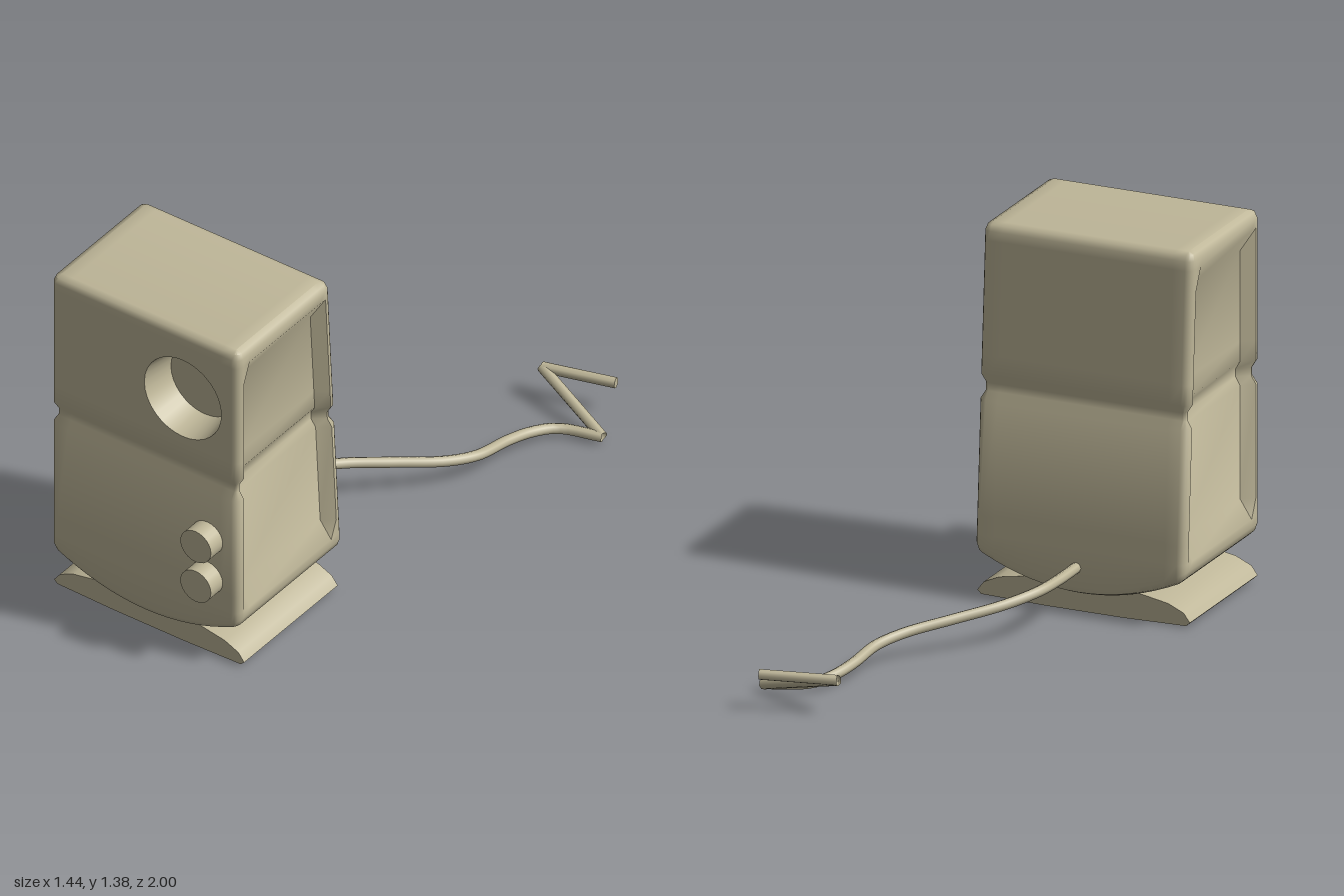
import * as THREE from 'three';
import { toCreasedNormals } from 'three/addons/utils/BufferGeometryUtils.js';

const material = new THREE.MeshStandardMaterial({ color: 0xbfb799, side: THREE.DoubleSide });
const W = 0.41, R = 0.03, NOTCH = 0.045, N = 16, ARC = 4;
const HOLE = { x: 0.169, y: 1.095, r: 0.168, inner: 0.147, depth: 0.13 };

function add(parent, name, geometry, x = 0, y = 0, z = 0) {
  const mesh = new THREE.Mesh(geometry, material);
  mesh.name = name;
  mesh.position.set(x, y, z);
  parent.add(mesh);
  return mesh;
}

// Front half of a cabinet cross-section, left to right, as [x, z]
function frontOutline(inset, notch) {
  const left = [[-(W - inset - NOTCH * notch), -0.07], [-(W - inset), -0.035]];
  for (let i = 0; i <= ARC; i++) {
    const a = (i / ARC) * Math.PI / 2;
    left.push([-(W - R) - Math.cos(a) * (R - inset), -R + Math.sin(a) * (R - inset)]);
  }
  const middle = [];
  for (let i = 1; i < N; i++) middle.push([(W - R) * (2 * i / N - 1), -inset]);
  return [...left, ...middle, ...left.map(([x, z]) => [-x, z]).reverse()];
}

// Cabinet: stacked sections with rounded edges, waist groove, side recesses, bowed underside
function cabinetGeometry() {
  // [height, inset, side recess 0..1, follows the bowed underside]
  const rows = [
    [0, 0.03, 0, true], [0.009, 0.009, 0, true], [0.03, 0, 0, true],
    [0.24, 0, 0], [0.31, 0, 1], [0.735, 0, 1], [0.765, 0.018, 1], [0.795, 0.018, 1],
    [0.825, 0, 1], [0.9, 0, 1], [1.24, 0, 1], [1.32, 0, 0],
    [1.355, 0, 0], [1.376, 0.009, 0], [1.385, 0.03, 0],
  ];
  const positions = [], index = [];
  let m = 0;
  for (const [h, inset, notch, bowed] of rows) {
    const front = frontOutline(inset, notch);
    m = front.length;
    const point = (x, z, back) => {
      const y = bowed ? h + 0.075 + 0.105 * (x / W) ** 2 : h;
      positions.push(x, y, back ? -(0.643 - 0.0635 * y) - z : z);
    };
    front.forEach(([x, z]) => point(x, z, false));
    front.reverse().forEach(([x, z]) => point(x, z, true));
  }
  const n = 2 * m, first = 2 + ARC;
  const quad = (a, b, c, d) => index.push(a, b, c, a, c, d);
  for (let k = 0; k < rows.length - 1; k++) {
    for (let j = 0; j < n; j++) {
      // leave the area of the front panel open
      const open = rows[k][0] >= 0.9 && rows[k + 1][0] <= 1.32 && j >= first && j < first + N;
      const j2 = (j + 1) % n;
      if (!open) quad(k * n + j, k * n + j2, (k + 1) * n + j2, (k + 1) * n + j);
    }
  }
  const top = (rows.length - 1) * n;
  for (let i = 0; i < m - 1; i++) {
    quad(top + i, top + i + 1, top + n - 2 - i, top + n - 1 - i);
    quad(n - 1 - i, n - 2 - i, i + 1, i);
  }
  const geometry = new THREE.BufferGeometry();
  geometry.setAttribute('position', new THREE.Float32BufferAttribute(positions, 3));
  geometry.setIndex(index);
  return toCreasedNormals(geometry, 0.8);
}

// Flat front panel with the round opening
function frontPanelGeometry() {
  const w = W - R;
  const shape = new THREE.Shape([[-w, 0.9], [w, 0.9], [w, 1.32], [-w, 1.32]].map(p => new THREE.Vector2(...p)));
  const hole = new THREE.Path();
  hole.absarc(HOLE.x, HOLE.y, HOLE.r, 0, Math.PI * 2, true);
  shape.holes.push(hole);
  return new THREE.ShapeGeometry(shape, 16);
}

// Foot: shallow domed profile extruded front to back
function footGeometry() {
  const right = [[0.15, 0], [0.4, 0.006], [0.415, 0.02], [0.39, 0.053], [0.33, 0.08], [0.22, 0.1]];
  const outline = [...right, ...right.map(([x, y]) => [-x, y]).reverse()];
  const shape = new THREE.Shape(outline.map(p => new THREE.Vector2(...p)));
  const geometry = new THREE.ExtrudeGeometry(shape, { depth: 0.56, bevelEnabled: false });
  return toCreasedNormals(geometry, 0.6);
}

export function createModel() {
  const model = new THREE.Group();
  model.name = 'desktopSpeaker';

  // Speaker, turned slightly on the desk; its front face lies at local z = 0
  const speaker = new THREE.Group();
  speaker.name = 'speaker';
  speaker.position.set(-0.32, 0, 0.865);
  speaker.rotation.y = -0.21;
  model.add(speaker);

  add(speaker, 'cabinet', cabinetGeometry());
  add(speaker, 'frontPanel', frontPanelGeometry());
  add(speaker, 'foot', footGeometry(), 0, 0, -0.59);

  // Tapered driver opening and its flat floor
  const wall = new THREE.CylinderGeometry(HOLE.r, HOLE.inner, HOLE.depth, 32, 1, true).rotateX(Math.PI / 2);
  add(speaker, 'driverWall', wall, HOLE.x, HOLE.y, -HOLE.depth / 2);
  add(speaker, 'driverFloor', new THREE.CircleGeometry(HOLE.inner, 32), HOLE.x, HOLE.y, -HOLE.depth);

  // Control knobs
  for (const y of [0.53, 0.355]) {
    const knob = new THREE.CylinderGeometry(0.067, 0.067, 0.08, 24).rotateX(Math.PI / 2);
    add(speaker, 'knob', knob, 0.276, y, 0.03);
  }

  // Cable: a winding run, then two straight kinked pieces
  const cable = new THREE.Group();
  cable.name = 'cable';
  model.add(cable);
  const v = (x, y, z) => new THREE.Vector3(x, y, z);
  const run = new THREE.CatmullRomCurve3([
    v(-0.18, 0.175, 0.26), v(-0.145, 0.175, 0.1), v(-0.1, 0.17, -0.02), v(0, 0.15, -0.13), v(0.15, 0.125, -0.24),
    v(0.3, 0.1, -0.35), v(0.38, 0.082, -0.45), v(0.43, 0.06, -0.6), v(0.48, 0.045, -0.7),
    v(0.55, 0.034, -0.77), v(0.71, 0.028, -0.795),
  ]);
  const kink = v(0.4, 0.125, -0.965), end = v(0.68, 0.13, -0.98);
  add(cable, 'cableRun', new THREE.TubeGeometry(run, 48, 0.02, 8));
  add(cable, 'cableBend', new THREE.TubeGeometry(new THREE.LineCurve3(v(0.71, 0.028, -0.795), kink), 1, 0.02, 8));
  add(cable, 'cableEnd', new THREE.TubeGeometry(new THREE.LineCurve3(kink, end), 1, 0.02, 8));
  const cap = add(cable, 'cableTip', new THREE.CircleGeometry(0.02, 8), end.x, end.y, end.z);
  cap.lookAt(end.clone().multiplyScalar(2).sub(kink));

  return model;
}
